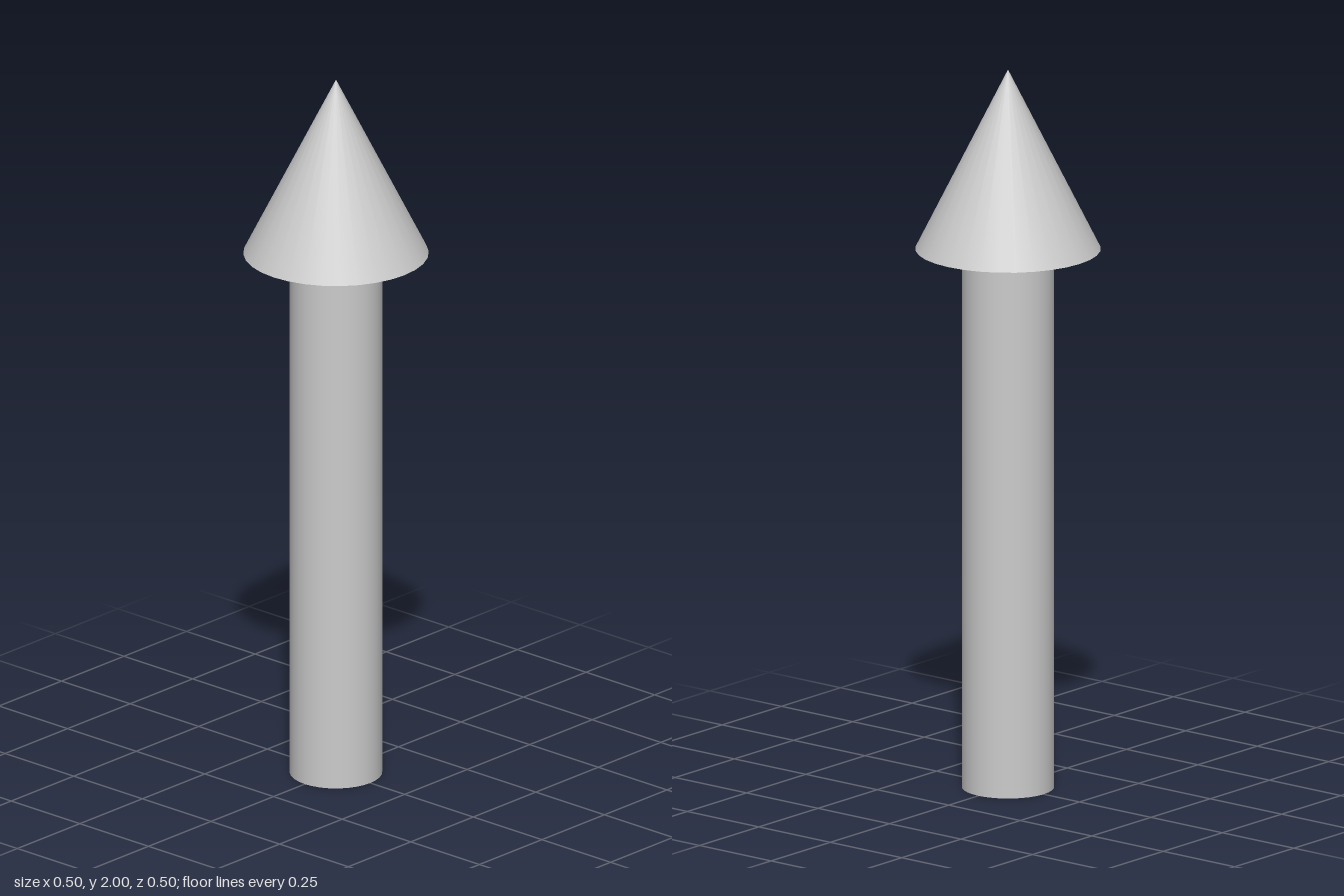
import * as THREE from 'three';

const SIDES = 32;
const SHAFT_HEIGHT = 1.5;
const HEAD_HEIGHT = 0.5;

export function createModel() {
  const arrow = new THREE.Group();
  arrow.name = 'arrow';
  const material = new THREE.MeshStandardMaterial({ color: 0xcccccc });

  // Adds a part whose base rests at the given height
  const addPart = (name, geometry, height, base) => {
    const mesh = new THREE.Mesh(geometry, material);
    mesh.name = name;
    mesh.position.y = base + height / 2;
    arrow.add(mesh);
  };

  // Round shaft
  addPart('shaft', new THREE.CylinderGeometry(0.125, 0.125, SHAFT_HEIGHT, SIDES), SHAFT_HEIGHT, 0);

  // Conical head on top of the shaft
  addPart('arrowHead', new THREE.ConeGeometry(0.25, HEAD_HEIGHT, SIDES), HEAD_HEIGHT, SHAFT_HEIGHT);

  return arrow;
}
